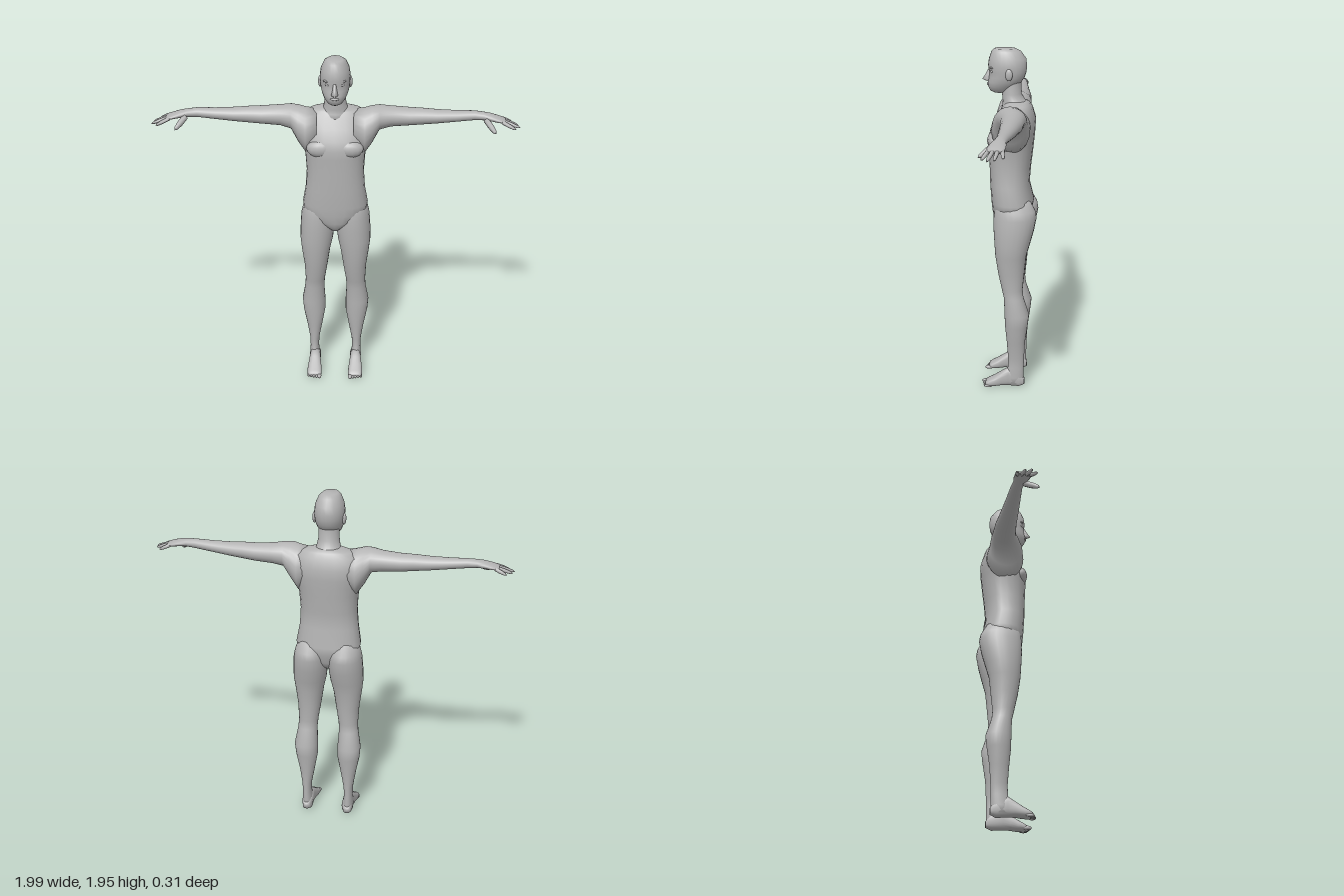
import * as THREE from 'three';

const skin = new THREE.MeshStandardMaterial({ color: 0xb4b4b4 });
skin.name = 'grey skin';

// Closed loft along an axis; each row is [position, min1, max1, min2, max2]
// over the two other axes in x, y, z order. power > 2 squares the section.
function loft(axis, rows, power = 2, seg = 24) {
  const sorted = [...rows].sort((a, b) => a[0] - b[0]);
  const pos = [], index = [];
  const put = (t, u, v) => {
    const p = [u, v];
    p.splice('xyz'.indexOf(axis), 0, t);
    pos.push(...p);
  };
  const bend = (c) => Math.sign(c) * Math.abs(c) ** (2 / power);
  for (const [t, a0, a1, b0, b1] of sorted) {
    for (let i = 0; i < seg; i++) {
      const ang = (i / seg) * Math.PI * 2;
      put(t, (a0 + a1) / 2 + bend(Math.cos(ang)) * (a1 - a0) / 2,
        (b0 + b1) / 2 + bend(Math.sin(ang)) * (b1 - b0) / 2);
    }
  }
  const n = sorted.length, first = n * seg, last = first + 1;
  for (const r of [sorted[0], sorted[n - 1]]) put(r[0], (r[1] + r[2]) / 2, (r[3] + r[4]) / 2);
  const face = (a, b, c) => (axis === 'y' ? index.push(a, c, b) : index.push(a, b, c));
  for (let i = 0; i < seg; i++) {
    const j = (i + 1) % seg;
    for (let r = 0; r < n - 1; r++) {
      const a = r * seg + i, b = r * seg + j;
      face(a, b, b + seg);
      face(a, b + seg, a + seg);
    }
    face(first, j, i);
    face(last, (n - 1) * seg + i, (n - 1) * seg + j);
  }
  const g = new THREE.BufferGeometry();
  g.setAttribute('position', new THREE.Float32BufferAttribute(pos, 3));
  g.setIndex(index);
  g.computeVertexNormals();
  return g;
}

// Rows symmetric in x: [y, halfWidth, back, front]
const centred = (rows, power) => loft('y', rows.map(([y, w, b, f]) => [y, -w, w, b, f]), power);

const ball = (c, r) => new THREE.SphereGeometry(1, 14, 10).scale(...r).translate(...c);

// Tapered finger between two points
function digit(from, to, r) {
  const a = new THREE.Vector3(...from), d = new THREE.Vector3(...to).sub(a);
  const len = d.length();
  const profile = [[0, 0], [r, 0.04], [r, 0.5], [r * 0.7, 0.85], [0, 1]]
    .map(([x, y]) => new THREE.Vector2(x, y * len));
  const q = new THREE.Quaternion().setFromUnitVectors(new THREE.Vector3(0, 1, 0), d.normalize());
  return new THREE.LatheGeometry(profile, 8).applyQuaternion(q).translate(a.x, a.y, a.z);
}

function mirrored(geometry) {
  const g = geometry.clone();
  g.scale(-1, 1, 1);
  const ix = g.index.array;
  for (let i = 0; i < ix.length; i += 3) [ix[i + 1], ix[i + 2]] = [ix[i + 2], ix[i + 1]];
  g.computeVertexNormals();
  return g;
}

export function createModel() {
  const model = new THREE.Group();
  model.name = 'human figure';
  const add = (name, g) => {
    const m = new THREE.Mesh(g, skin);
    m.name = name;
    model.add(m);
  };
  const pair = (name, g) => {
    add('left ' + name, g);
    add('right ' + name, mirrored(g));
  };

  // Trunk
  add('torso', centred([
    [0.945, 0.03, -0.06, 0.06], [0.97, 0.07, -0.09, 0.076], [1.0, 0.12, -0.11, 0.09],
    [1.05, 0.172, -0.125, 0.098], [1.1, 0.182, -0.135, 0.103], [1.2, 0.165, -0.11, 0.11],
    [1.3, 0.158, -0.118, 0.113], [1.4, 0.165, -0.13, 0.118], [1.45, 0.178, -0.135, 0.12],
    [1.5, 0.188, -0.14, 0.108], [1.56, 0.19, -0.143, 0.078], [1.62, 0.175, -0.125, 0.045],
    [1.645, 0.135, -0.108, 0.03], [1.66, 0.07, -0.09, 0.02],
  ], 2.3));
  pair('chest muscle', ball([0.08, 1.455, 0.078], [0.075, 0.05, 0.042]));
  add('neck', centred([
    [1.58, 0.1, -0.13, 0.06], [1.635, 0.085, -0.112, 0.042], [1.66, 0.066, -0.088, 0.04],
    [1.7, 0.058, -0.062, 0.044], [1.77, 0.056, -0.062, 0.04], [1.8, 0.055, -0.06, 0.04],
  ]));

  // Head and face
  add('head', centred([
    [1.945, 0.042, -0.03, 0.085], [1.93, 0.06, -0.06, 0.1], [1.89, 0.077, -0.089, 0.115],
    [1.85, 0.082, -0.092, 0.12], [1.82, 0.08, -0.09, 0.112], [1.79, 0.077, -0.08, 0.115],
    [1.765, 0.07, -0.064, 0.121], [1.74, 0.059, -0.04, 0.121], [1.715, 0.04, 0, 0.108],
    [1.705, 0.024, 0.03, 0.088],
  ], 2.1));
  add('nose', centred([
    [1.835, 0.008, 0.09, 0.117], [1.8, 0.012, 0.09, 0.136], [1.777, 0.018, 0.09, 0.152],
    [1.768, 0.014, 0.09, 0.132],
  ]));
  add('lips', ball([0, 1.752, 0.117], [0.024, 0.008, 0.01]));
  pair('eye', ball([0.036, 1.825, 0.093], [0.016, 0.009, 0.012]));
  pair('brow', ball([0.036, 1.845, 0.094], [0.025, 0.008, 0.014]));
  pair('ear', ball([0.081, 1.812, 0], [0.011, 0.032, 0.02]));

  // Arms, palms and fingers
  pair('arm', loft('x', [
    [0.1, 1.45, 1.645, -0.12, 0.08], [0.16, 1.4, 1.655, -0.12, 0.09],
    [0.2, 1.46, 1.667, -0.11, 0.08], [0.24, 1.535, 1.668, -0.105, 0.055],
    [0.3, 1.548, 1.66, -0.1, 0.03], [0.4, 1.555, 1.652, -0.095, 0.022],
    [0.47, 1.562, 1.65, -0.085, 0.02], [0.55, 1.57, 1.645, -0.075, 0.018],
    [0.65, 1.582, 1.643, -0.062, 0.015], [0.75, 1.594, 1.645, -0.05, 0.012],
    [0.8, 1.597, 1.641, -0.042, 0.02], [0.84, 1.595, 1.634, -0.046, 0.035],
    [0.88, 1.591, 1.622, -0.045, 0.045], [0.915, 1.589, 1.61, -0.038, 0.044],
  ]));
  const tips = [[0.97, 1.57, 0.064], [0.997, 1.57, 0.036], [0.988, 1.572, 0.002], [0.958, 1.575, -0.04]];
  tips.forEach((tip, i) => pair('finger ' + (i + 1), digit([0.895, 1.602, 0.034 - i * 0.022], tip, 0.0105)));
  pair('thumb', digit([0.81, 1.607, 0.015], [0.862, 1.555, 0.09], 0.016));

  // Legs with buttocks
  pair('leg', loft('y', [
    [1.12, 0.025, 0.16, -0.115, 0.07], [1.06, 0.008, 0.184, -0.148, 0.08],
    [1.02, 0.004, 0.193, -0.155, 0.085], [0.95, 0.004, 0.198, -0.142, 0.085],
    [0.87, 0.014, 0.2, -0.12, 0.08], [0.8, 0.03, 0.192, -0.1, 0.075],
    [0.7, 0.045, 0.178, -0.09, 0.06], [0.6, 0.061, 0.173, -0.08, 0.038],
    [0.55, 0.065, 0.176, -0.085, 0.026], [0.45, 0.06, 0.194, -0.118, 0.022],
    [0.38, 0.06, 0.188, -0.11, 0.02], [0.28, 0.078, 0.168, -0.095, 0.01],
    [0.18, 0.097, 0.152, -0.09, 0.002], [0.12, 0.1, 0.15, -0.088, 0.003],
    [0.06, 0.092, 0.154, -0.088, 0.02], [0.02, 0.094, 0.15, -0.085, 0.02],
  ], 2.1));

  // Feet
  pair('foot', loft('z', [
    [-0.092, 0.103, 0.142, 0.015, 0.05], [-0.06, 0.088, 0.152, 0, 0.09],
    [0, 0.09, 0.152, 0.004, 0.115], [0.04, 0.085, 0.157, 0.004, 0.088],
    [0.08, 0.08, 0.163, 0, 0.06], [0.115, 0.079, 0.162, 0, 0.04],
    [0.132, 0.084, 0.156, 0.004, 0.028],
  ], 2.6));
  for (let i = 0; i < 5; i++) {
    const r = i ? 0.0085 : 0.012;
    pair('toe ' + (i + 1), ball([0.091 + i * 0.016, r, 0.132 - i * 0.004], [r, r, 0.024]));
  }
  return model;
}
